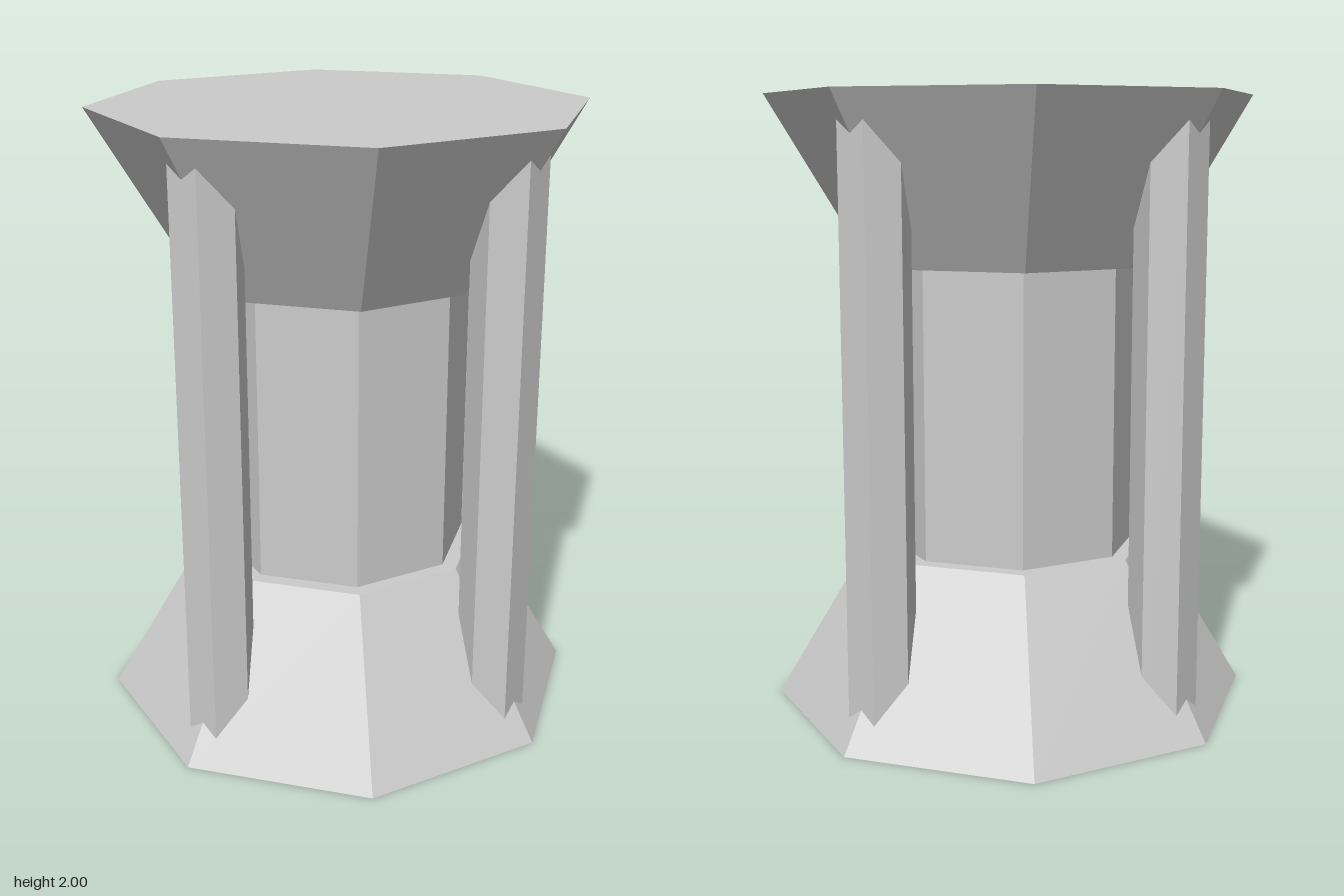
import * as THREE from 'three';

const BASE_H = 0.535;

export function createModel() {
  const model = new THREE.Group();
  const material = new THREE.MeshStandardMaterial({ color: 0xcccccc, flatShading: true });

  // Upright prism or tapered block, standing from y0 to y1
  function prism(name, rTop, rBottom, y0, y1, sides) {
    const mesh = new THREE.Mesh(new THREE.CylinderGeometry(rTop, rBottom, y1 - y0, sides), material);
    mesh.name = name;
    mesh.position.y = (y0 + y1) / 2;
    model.add(mesh);
    return mesh;
  }

  // Octagonal flared ends and the core between them
  prism('base', 0.475, 0.793, 0, BASE_H, 8);
  prism('capital', 0.793, 0.475, 2 - BASE_H, 2, 8);
  prism('core', 0.423, 0.423, BASE_H - 0.02, 2 - BASE_H + 0.02, 8);

  // Four hexagonal columns sunk into both ends, a flat side facing outward
  for (let i = 0; i < 4; i++) {
    const angle = (i * Math.PI) / 2;
    const column = prism('column' + (i + 1), 0.11, 0.11, 0.05, 1.95, 6);
    column.position.x = 0.622 * Math.cos(angle);
    column.position.z = -0.622 * Math.sin(angle);
    column.rotation.y = angle;
  }

  return model;
}
